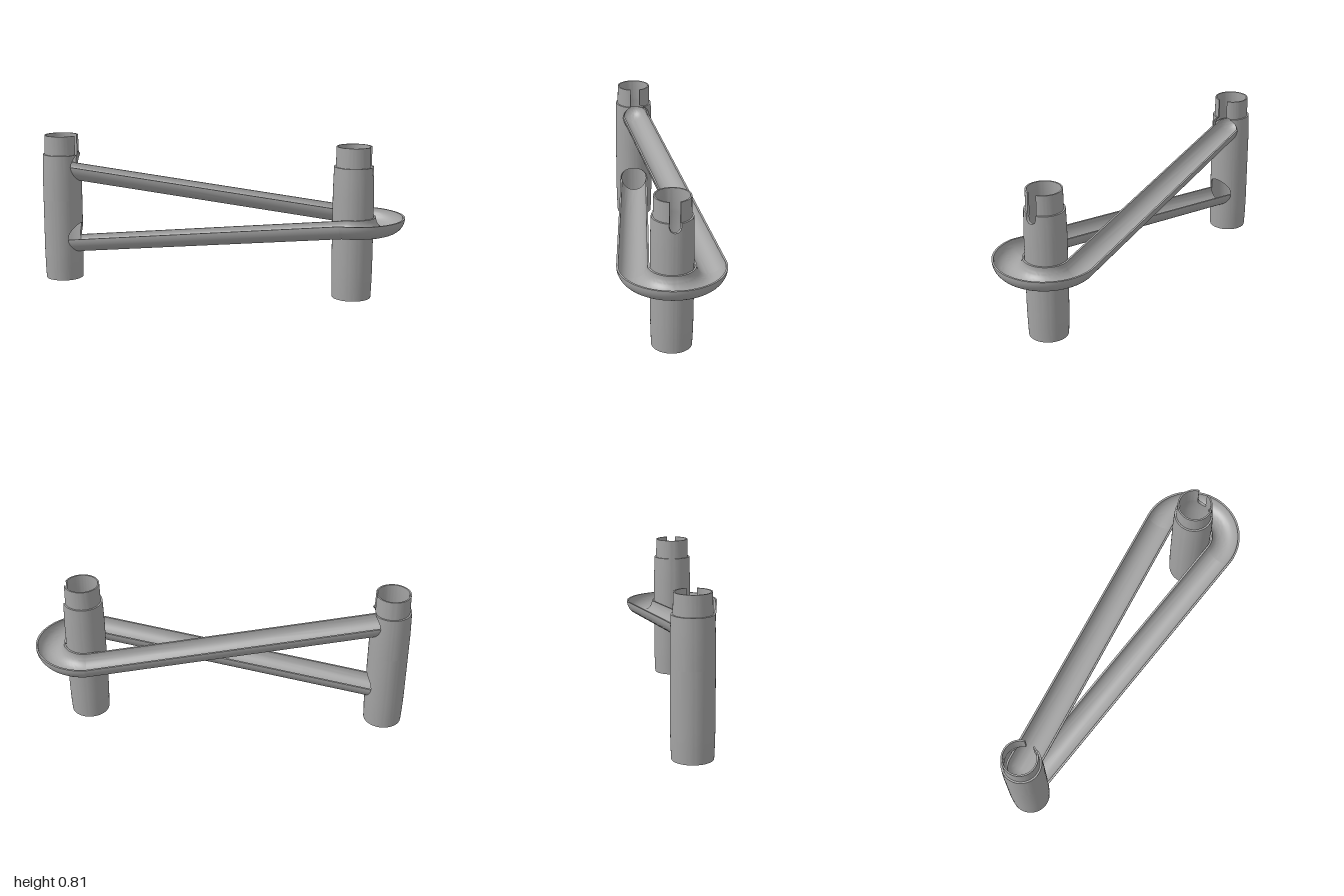
import * as THREE from 'three';
import { mergeGeometries, toCreasedNormals } from 'three/addons/utils/BufferGeometryUtils.js';

const TUBE_X = [-0.895, 0.73];
const TROUGH_R = 0.08, TROUGH_INNER = 0.07, LOOP_R = 0.19;
const TILT = Math.asin(LOOP_R / (TUBE_X[1] - TUBE_X[0])); // heading of the straight troughs
const TOP = 0.805, SPLIT = 0.45;
const SLOT_W = 0.029, SLOT_Y = 0.681, SLOT_ANGLE = 0.295;

// tube wall profiles as [radius, y]; both have the same number of points
const OUTER = [[0.102, 0], [0.105, 0.07], [0.107, 0.16], [0.107, 0.56], [0.105, 0.64], [0.103, 0.7], [0.094, 0.7], [0.092, TOP]];
const INNER = [[0.097, 0], [0.098, 0.07], [0.098, 0.16], [0.098, 0.56], [0.095, 0.62], [0.087, 0.68], [0.084, 0.7], [0.084, TOP]];

// skin a row of closed wall sections (outer points, then inner points reversed) and cap both ends
function sweep(sections) {
  const m = sections[0].length, n = m / 2, index = [];
  const quad = (a, b, c, d) => index.push(a, b, c, a, c, d);
  for (let k = 0; k < sections.length - 1; k++) {
    for (let i = 0; i < m; i++) {
      const j = (i + 1) % m;
      quad(k * m + i, k * m + j, (k + 1) * m + j, (k + 1) * m + i);
    }
  }
  const last = (sections.length - 1) * m;
  for (let i = 0; i < n - 1; i++) {
    quad(m - 1 - i, m - 2 - i, i + 1, i);
    quad(last + i, last + i + 1, last + m - 2 - i, last + m - 1 - i);
  }
  const g = new THREE.BufferGeometry();
  g.setAttribute('position', new THREE.Float32BufferAttribute(sections.flat(2), 3));
  g.setIndex(index);
  return g;
}

function radiusAt(profile, y) {
  for (let i = 1; i < profile.length; i++) {
    const [r0, y0] = profile[i - 1], [r1, y1] = profile[i];
    if (y <= y1 && y1 > y0) return r0 + (r1 - r0) * (y - y0) / (y1 - y0);
  }
  return profile[profile.length - 1][0];
}

// piece of tube wall between two angles, with lower and upper edges given per angle
function panel(a0, a1, lo, hi, steps) {
  const sections = [];
  for (let k = 0; k <= steps; k++) {
    const a = a0 + (a1 - a0) * k / steps, low = lo(a), high = hi(a);
    const cut = (profile) => profile.map(([r, y]) => {
      const yy = Math.min(Math.max(y, low), high);
      const rr = yy === y ? r : radiusAt(profile, yy);
      return [rr * Math.cos(a), yy, rr * Math.sin(a)];
    });
    sections.push([...cut(OUTER), ...cut(INNER).reverse()]);
  }
  return sweep(sections);
}

const level = (y) => () => y;
const finish = (parts) => toCreasedNormals(mergeGeometries(parts), 0.5);

// plain tube with a round-ended slot in its top
function slottedTube() {
  const slotBottom = (a) => SLOT_Y - Math.sqrt(Math.max(0, SLOT_W ** 2 - (0.1 * Math.sin(a)) ** 2));
  return finish([
    panel(SLOT_ANGLE, 2 * Math.PI - SLOT_ANGLE, level(0), level(TOP), 64),
    panel(-SLOT_ANGLE, SLOT_ANGLE, level(0), slotBottom, 16),
  ]);
}

// tube with two round ball openings, the upper one running into the slot
function openedTube() {
  const w = Math.asin(TROUGH_R / 0.107);
  const hole = (c, y, sign) => (a) =>
    y + sign * Math.sqrt(Math.max(0, TROUGH_R ** 2 - (0.107 * Math.sin(a - c)) ** 2));
  const low = TILT, lowY = 0.235, up = -TILT, upY = 0.632;
  return finish([
    // lower half
    panel(low + w, low - w + 2 * Math.PI, level(0), level(SPLIT), 52),
    panel(low - w, low + w, level(0), hole(low, lowY, -1), 32),
    panel(low - w, low + w, hole(low, lowY, 1), level(SPLIT), 32),
    // upper half
    panel(up + w, up - w + 2 * Math.PI, level(SPLIT), level(TOP), 52),
    panel(up - w, up + w, level(SPLIT), hole(up, upY, -1), 32),
    panel(up - w, -SLOT_ANGLE, hole(up, upY, 1), level(TOP), 16),
    panel(SLOT_ANGLE, up + w, hole(up, upY, 1), level(TOP), 14),
  ]);
}

// half-pipe section at a point, for a heading angle measured from +x towards +z
function troughSection(x, y, z, heading, scale = 1) {
  const sx = -Math.sin(heading), sz = Math.cos(heading), N = 24;
  const arc = (r) => Array.from({ length: N + 1 }, (_, i) => {
    const a = Math.PI * i / N, c = Math.cos(a) * r * scale;
    return [x + sx * c, y - Math.sin(a) * r * scale, z + sz * c];
  });
  return [...arc(TROUGH_R), ...arc(TROUGH_INNER).reverse()];
}

// ball track: down from the upper opening, round the second tube, back to the lower opening
function track() {
  const rim = 0.435, startY = 0.645, endY = 0.222;
  const length = LOOP_R / Math.tan(TILT);
  const dx = Math.cos(TILT), dz = Math.sin(TILT);
  const upper = [], loop = [], lower = [];
  // rounded closed end inside the first tube
  for (let k = 0; k < 10; k++) {
    const a = (Math.PI / 2) * (1 - k / 10), d = -TROUGH_R * Math.sin(a);
    upper.push(troughSection(TUBE_X[0] + d * dx, startY, -d * dz, -TILT, Math.max(Math.cos(a), 0.01)));
  }
  for (let k = 0; k <= 8; k++) {
    const d = length * k / 8;
    upper.push(troughSection(TUBE_X[0] + d * dx, startY + (rim - startY) * k / 8, -d * dz, -TILT));
  }
  const sweepAngle = Math.PI / 2 + TILT;
  for (let k = 0; k <= 48; k++) {
    const a = -sweepAngle + 2 * sweepAngle * k / 48;
    loop.push(troughSection(TUBE_X[1] + LOOP_R * Math.cos(a), rim, LOOP_R * Math.sin(a), a + Math.PI / 2));
  }
  for (let k = 0; k <= 8; k++) {
    const d = length + (0.07 - length) * k / 8;
    lower.push(troughSection(TUBE_X[0] + d * dx, endY + (rim - endY) * d / length, d * dz, Math.PI + TILT));
  }
  return { upperTrough: upper, loopTrough: loop, lowerTrough: lower };
}

export function createModel() {
  const model = new THREE.Group();
  model.name = 'marbleRunCurve';
  const grey = new THREE.MeshStandardMaterial({ color: 0xa4a4a4 });
  grey.name = 'grey';

  const add = (name, geometry, x = 0) => {
    const mesh = new THREE.Mesh(geometry, grey);
    mesh.name = name;
    mesh.position.x = x;
    model.add(mesh);
  };

  add('openedTube', openedTube(), TUBE_X[0]);
  add('slottedTube', slottedTube(), TUBE_X[1]);
  for (const [name, sections] of Object.entries(track())) add(name, finish([sweep(sections)]));
  return model;
}
